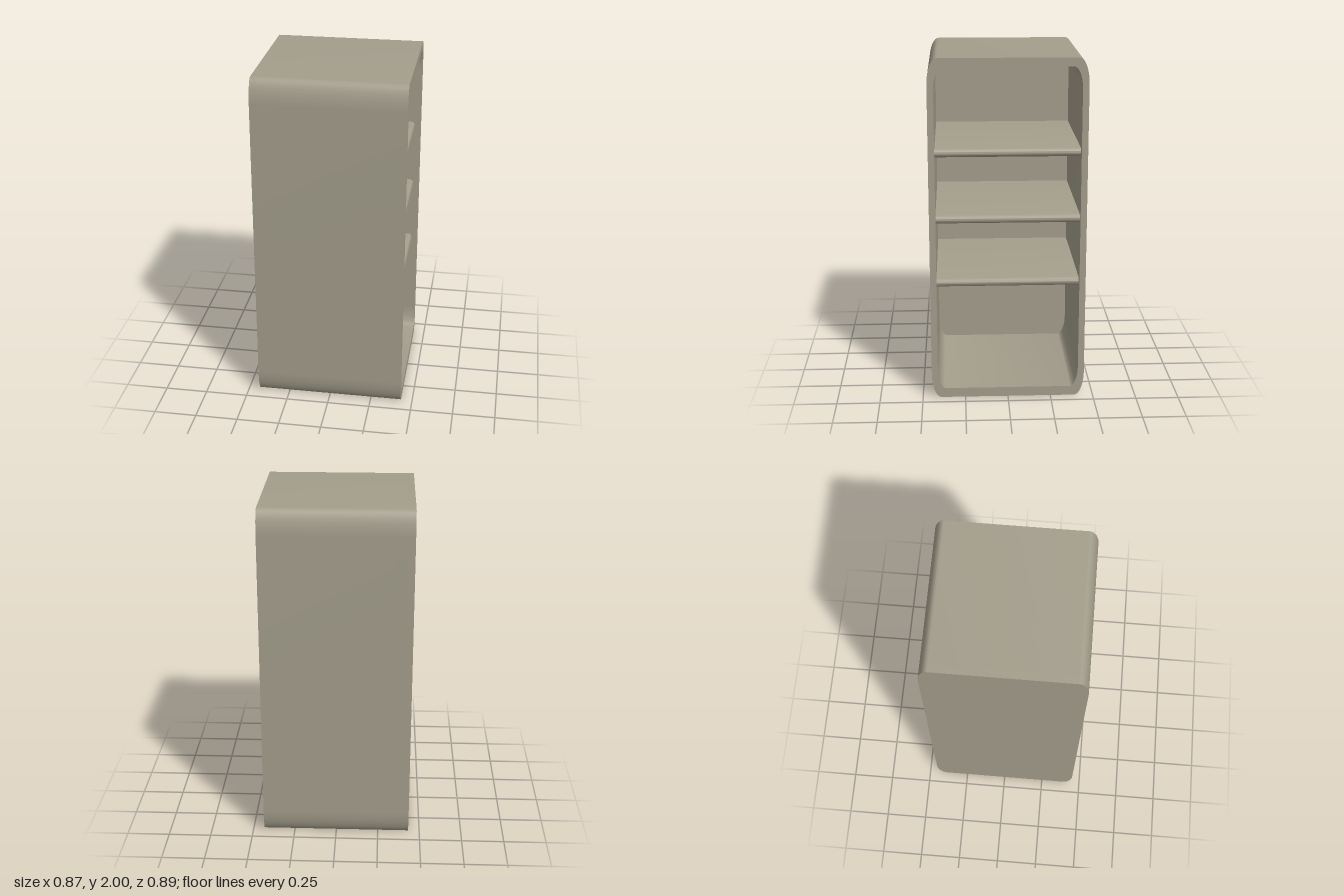
import * as THREE from 'three';
import { toCreasedNormals } from 'three/addons/utils/BufferGeometryUtils.js';

const HALF_X = 0.433, BACK = 0.04;

// Rectangle with elliptical corners, traced counter-clockwise
function roundedRect(Target, halfW, y0, y1, rx, ry) {
  const p = new Target();
  const w = halfW - rx, lo = y0 + ry, hi = y1 - ry, q = Math.PI / 2;
  p.moveTo(-w, y0);
  p.absellipse(w, lo, rx, ry, -q, 0, false, 0);
  p.absellipse(w, hi, rx, ry, 0, q, false, 0);
  p.absellipse(-w, hi, rx, ry, q, 2 * q, false, 0);
  p.absellipse(-w, lo, rx, ry, 2 * q, 3 * q, false, 0);
  p.closePath();
  return p;
}

function extrude(shape, depth) {
  return new THREE.ExtrudeGeometry(shape, { depth, bevelEnabled: false, curveSegments: 14 });
}

export function createModel() {
  const group = new THREE.Group();
  const material = new THREE.MeshStandardMaterial({ color: 0xa39d8b });
  const add = (name, geometry) => {
    const mesh = new THREE.Mesh(toCreasedNormals(geometry, 0.6), material);
    mesh.name = name;
    group.add(mesh);
  };

  const outline = () => roundedRect(THREE.Shape, 0.447, 0, 2, 0.057, 0.15);

  // Cabinet shell, open towards +x
  const frame = outline();
  frame.holes.push(roundedRect(THREE.Path, 0.411, 0.056, 1.95, 0.05, 0.125));
  add('cabinetShell', extrude(frame, 2 * HALF_X - BACK)
    .rotateY(Math.PI / 2).translate(-HALF_X + BACK, 0, 0));

  // Closed panel on the -x side
  add('backPanel', extrude(outline(), BACK)
    .rotateY(Math.PI / 2).translate(-HALF_X, 0, 0));

  // Shelves with a half-round front edge, set slightly inside the opening
  const r = 0.024, front = HALF_X - 0.035, back = -HALF_X + BACK;
  const profile = new THREE.Shape();
  profile.moveTo(back, -r);
  profile.lineTo(front - r, -r);
  profile.absarc(front - r, 0, r, -Math.PI / 2, Math.PI / 2, false);
  profile.lineTo(back, r);
  profile.closePath();
  const names = ['lowerShelf', 'middleShelf', 'upperShelf'];
  [0.695, 1.074, 1.46].forEach((y, i) =>
    add(names[i], extrude(profile, 0.822).translate(0, y, -0.411)));

  return group;
}
